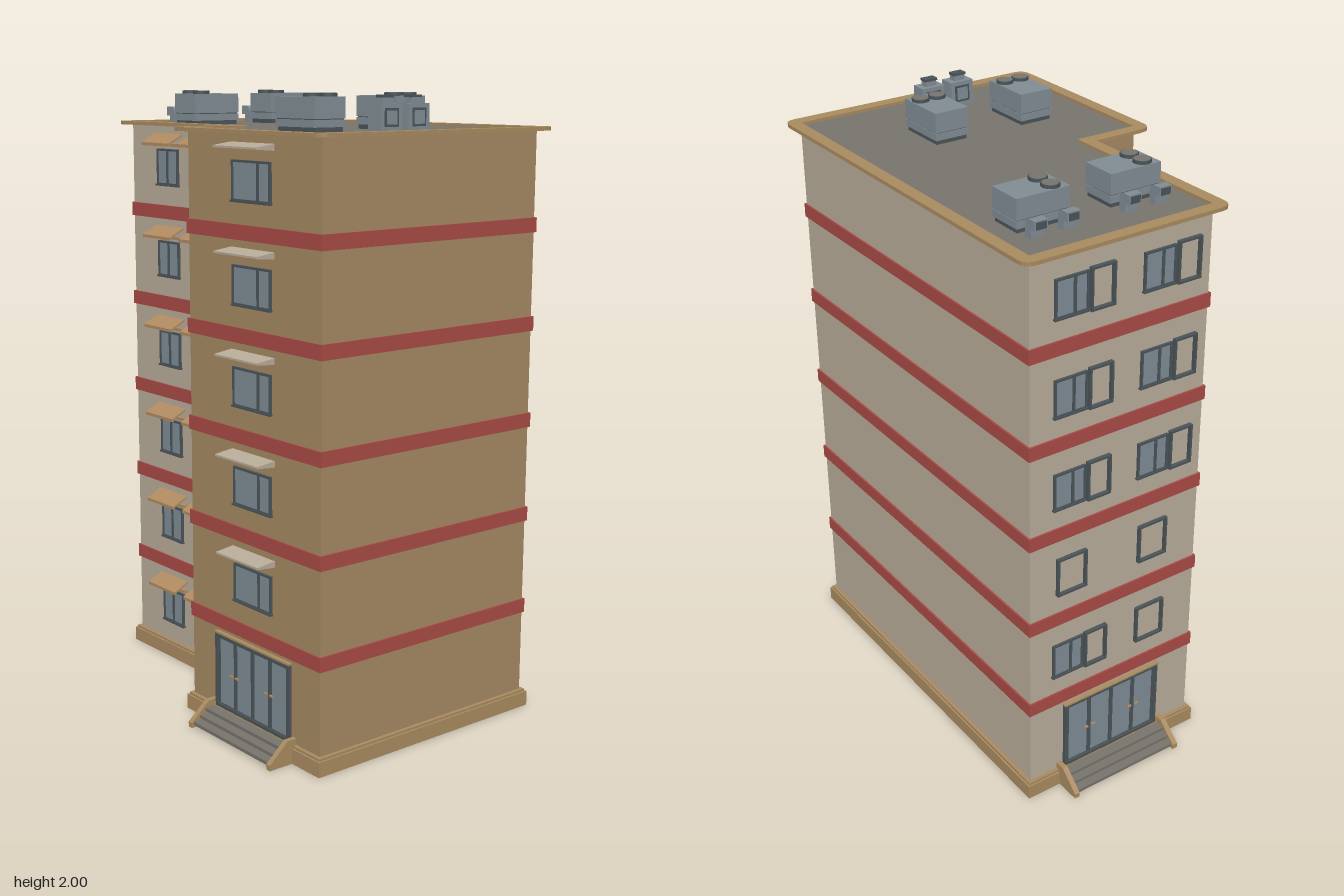
import * as THREE from 'three';

const mat = (name, color, side = THREE.FrontSide) => {
  const m = new THREE.MeshStandardMaterial({ color, side });
  m.name = name;
  return m;
};
const M = {
  beige: mat('beige plaster', 0xb8ab99, THREE.DoubleSide),
  tan: mat('tan plaster', 0xa38862, THREE.DoubleSide),
  trim: mat('ochre trim', 0xa88a60),
  awning: mat('awning tan', 0xb08a60),
  red: mat('red band', 0xa84a45),
  frame: mat('dark frame', 0x4a5459),
  glass: mat('blue grey glass', 0x7d8b94),
  metal: mat('roof unit metal', 0x7f8c93, THREE.DoubleSide),
  roof: mat('roof grey', 0x77736c, THREE.DoubleSide),
};

const FLOOR = 0.3115;

function add(parent, name, geometry, material, x = 0, y = 0, z = 0) {
  const mesh = new THREE.Mesh(geometry, material);
  mesh.name = name;
  mesh.position.set(x, y, z);
  parent.add(mesh);
  return mesh;
}
const box = (parent, name, material, w, h, d, x, y, z) =>
  add(parent, name, new THREE.BoxGeometry(w, h, d), material, x, y, z);

function group(parent, name, x = 0, y = 0, z = 0) {
  const g = new THREE.Group();
  g.name = name;
  g.position.set(x, y, z);
  parent.add(g);
  return g;
}

// L-shaped footprint grown by d, optionally with rounded outer corners
function footprint(d, r = 0, Type = THREE.Shape) {
  const p = [[-0.615 - d, -0.46 - d], [0.675 + d, -0.46 - d], [0.675 + d, 0.4 + d],
    [0.03 - d, 0.4 + d], [0.03 - d, 0.18 + d], [-0.615 - d, 0.18 + d]]
    .map(([x, z]) => new THREE.Vector2(x, z));
  const s = new Type();
  p.forEach((c, i) => {
    const k = i === 4 ? 0 : r;
    const toward = q => q.clone().sub(c).setLength(k).add(c);
    const a = toward(p[(i + 5) % 6]), b = toward(p[(i + 1) % 6]);
    if (i === 0) s.moveTo(a.x, a.y); else s.lineTo(a.x, a.y);
    if (k) s.quadraticCurveTo(c.x, c.y, b.x, b.y);
  });
  s.closePath();
  return s;
}

// Flat slab or ring following the footprint
function ring(parent, name, material, outer, inner, y0, y1, r = 0) {
  const s = footprint(outer, r);
  if (inner !== null) s.holes.push(footprint(inner, 0, THREE.Path));
  const g = new THREE.ExtrudeGeometry(s, { depth: y1 - y0, bevelEnabled: false, curveSegments: 4 });
  g.rotateX(Math.PI / 2);
  add(parent, name, g, material, 0, y1, 0);
}

// Side profile (z outward, y up) swept across the width
function sweep(parent, name, material, points, width, x, y, z) {
  const s = new THREE.Shape(points.map(([pz, py]) => new THREE.Vector2(-pz, py)));
  const g = new THREE.ExtrudeGeometry(s, { depth: width, bevelEnabled: false });
  g.rotateY(Math.PI / 2);
  return add(parent, name, g, material, x - width / 2, y, z);
}

// Rectangular border of four bars
function border(parent, w, h, t, d, z = 0) {
  for (const s of [-1, 1]) {
    box(parent, 'frameUpright', M.frame, t, h, d, s * (w - t) / 2, 0, z);
    box(parent, 'frameRail', M.frame, w - 2 * t, t, d, 0, s * (h - t) / 2, z);
  }
}

function makeWindow(parent, x, y, w, split) {
  const g = group(parent, 'window', x, y, 0), h = 0.122;
  box(g, 'glass', M.glass, w - 0.01, h - 0.01, 0.008, 0, 0, 0);
  border(g, w, h, 0.007, 0.016);
  box(g, 'mullion', M.frame, 0.009, h, 0.016, split, 0, 0);
  box(g, 'sill', M.frame, w + 0.006, 0.006, 0.022, 0, -h / 2, 0);
}

// Four-leaf entrance with steps and sloping cheeks
function makeEntrance(parent, x) {
  const g = group(parent, 'entrance', x, 0, 0);
  const door = group(g, 'door', 0, 0.183, 0);
  border(door, 0.375, 0.248, 0.011, 0.026);
  box(door, 'lintel', M.trim, 0.38, 0.006, 0.03, 0, 0.126, 0);
  for (let i = 0; i < 4; i++) {
    const leaf = group(door, 'doorLeaf', -0.1326 + i * 0.0884, -0.002, 0);
    box(leaf, 'glass', M.glass, 0.082, 0.225, 0.008, 0, 0, 0);
    border(leaf, 0.087, 0.23, 0.006, 0.016);
    for (const z of [-0.012, 0.012])
      box(leaf, 'handle', M.awning, 0.014, 0.006, 0.006, i % 2 ? -0.03 : 0.03, 0, z);
  }
  for (let i = 0; i < 3; i++) {
    box(g, 'step', M.roof, 0.39, 0.011, 0.034, 0, 0.05 - i * 0.018, 0.032 + i * 0.023);
    box(g, 'riser', M.frame, 0.39, 0.012, 0.004, 0, 0.04 - i * 0.016, 0.036 + i * 0.023);
  }
  for (const s of [-1, 1])
    sweep(g, 'stepCheek', M.trim,
      [[0, 0], [0.103, 0], [0.103, 0.017], [0.035, 0.077], [0, 0.077]], 0.018, s * 0.203, 0, 0);
}

function makeWalls(root) {
  const wall = (name, material, w, x, z, ry) => {
    const m = add(root, name, new THREE.PlaneGeometry(w, 1.85), material, x, 0.965, z);
    m.rotation.y = ry;
  };
  wall('wingFrontWall', M.tan, 0.645, 0.3525, 0.4, 0);
  wall('rightWall', M.tan, 0.86, 0.675, -0.03, Math.PI / 2);
  wall('returnWall', M.tan, 0.22, 0.03, 0.29, -Math.PI / 2);
  wall('frontWall', M.beige, 0.645, -0.2925, 0.18, 0);
  wall('leftWall', M.beige, 0.64, -0.615, -0.14, -Math.PI / 2);
  wall('backWall', M.beige, 1.29, 0.03, -0.46, Math.PI);
  ring(root, 'plinth', M.trim, 0.018, -0.01, 0, 0.048);
  ring(root, 'plinthCap', M.trim, 0.012, -0.006, 0.048, 0.056);
  for (let i = 0; i < 5; i++)
    ring(root, 'floorBand', M.red, 0.006, -0.006, 0.324 + i * FLOOR, 0.37 + i * FLOOR);
  ring(root, 'roofDeck', M.roof, -0.001, null, 1.878, 1.886);
  ring(root, 'roofTrim', M.trim, 0.04, -0.002, 1.884, 1.896, 0.04);
}

function makeFacades(root) {
  const front = group(root, 'frontFacade', 0, 0, 0.18);
  const wing = group(root, 'wingFacade', 0, 0, 0.4);
  const left = group(root, 'leftFacade', -0.615, 0, 0);
  left.rotation.y = -Math.PI / 2;
  makeEntrance(wing, 0.353);
  makeEntrance(left, -0.145);

  for (let f = 0; f < 6; f++) {
    const y = 0.188 + f * FLOOR;
    for (const x of [-0.4, -0.186]) {
      makeWindow(front, x, y, 0.123, 0);
      // Sloping awning with a hanging lip
      sweep(front, 'awning', M.awning,
        [[0, 0.112], [0.056, 0.083], [0.056, 0.073], [0.05, 0.073], [0.05, 0.08], [0, 0.105]],
        0.162, x, y, 0);
      sweep(front, 'awningValance', M.awning, [[0, 0.08], [0.012, 0.08], [0.012, 0.07], [0, 0.07]],
        0.155, x, y, 0);
    }
    if (f === 0) continue;
    makeWindow(wing, 0.353, y, 0.187, 0.033);
    sweep(wing, 'canopy', M.beige,
      [[0, 0.113], [0.066, 0.104], [0.066, 0.098], [0, 0.093]], 0.212, 0.353, y, 0);
    // Side windows, some with an open sash standing beside them
    [-0.31, 0.0].forEach((z, i) => {
      const open = f > 2 || (f === 1 && i === 0);
      if (open) makeWindow(left, z - 0.01, y, 0.115, 0.01);
      const sash = group(left, 'openSash', open ? z + 0.09 : z, y + 0.004, 0);
      border(sash, open ? 0.085 : 0.11, 0.134, 0.007, 0.014, open ? 0.013 : 0.006);
    });
  }
}

function makeRoofUnits(root) {
  const top = group(root, 'roofEquipment', 0, 1.886, 0);
  const unit = (x, z, w, d, fans) => {
    const g = group(top, 'airUnit', x, 0, z);
    box(g, 'unitFoot', M.frame, w - 0.01, 0.02, d - 0.01, 0, 0.01, 0);
    box(g, 'unitBase', M.metal, w, 0.022, d, 0, 0.025, 0);
    box(g, 'unitSeam', M.frame, w - 0.006, 0.004, d - 0.006, 0, 0.037, 0);
    box(g, 'unitBody', M.metal, w, 0.064, d, 0, 0.071, 0);
    for (const [fx, fz] of fans) {
      add(g, 'fanRim', new THREE.CylinderGeometry(0.028, 0.028, 0.011, 20), M.frame, fx, 0.1075, fz);
      add(g, 'fanCap', new THREE.CylinderGeometry(0.025, 0.025, 0.011, 20), M.roof, fx, 0.1085, fz);
    }
  };
  for (const z of [-0.303, 0.02]) unit(-0.4, z, 0.12, 0.18, [[-0.03, 0.044], [0.03, 0.044]]);
  for (const z of [-0.142, 0.18]) unit(0.353, z, 0.183, 0.12, [[0.045, -0.03], [0.045, 0.03]]);

  // Square vent elbows opening to the left
  const elbow = new THREE.Shape();
  elbow.moveTo(-0.485, 0);
  elbow.lineTo(-0.485, 0.035);
  elbow.quadraticCurveTo(-0.485, 0.058, -0.508, 0.058);
  elbow.lineTo(-0.53, 0.058);
  elbow.lineTo(-0.53, 0.028);
  elbow.lineTo(-0.512, 0.028);
  elbow.lineTo(-0.512, 0);
  const elbowGeo = new THREE.ExtrudeGeometry(elbow, { depth: 0.044, bevelEnabled: false, curveSegments: 5 });
  for (const z of [-0.36, -0.25, -0.036, 0.073]) {
    add(top, 'ventElbow', elbowGeo, M.metal, 0, 0, z - 0.022);
    box(top, 'ventMouth', M.frame, 0.004, 0.022, 0.034, -0.53, 0.043, z);
  }

  // Small vent boxes with a chimney and square grilles
  for (const z of [-0.037, 0.073]) {
    const g = group(top, 'ventBox', 0.567, 0, z);
    box(g, 'ventBody', M.metal, 0.056, 0.084, 0.084, 0, 0.042, 0);
    box(g, 'ventNeck', M.metal, 0.026, 0.02, 0.04, 0, 0.092, 0);
    box(g, 'ventCap', M.frame, 0.03, 0.008, 0.046, 0, 0.105, 0);
    for (const s of [-1, 1]) {
      box(g, 'grilleFrame', M.frame, 0.004, 0.054, 0.054, s * 0.028, 0.044, 0);
      box(g, 'grille', M.metal, 0.004, 0.04, 0.04, s * 0.03, 0.044, 0);
    }
  }
}

export function createModel() {
  const root = new THREE.Group();
  root.name = 'apartmentBuilding';
  makeWalls(root);
  makeFacades(root);
  makeRoofUnits(root);
  return root;
}
